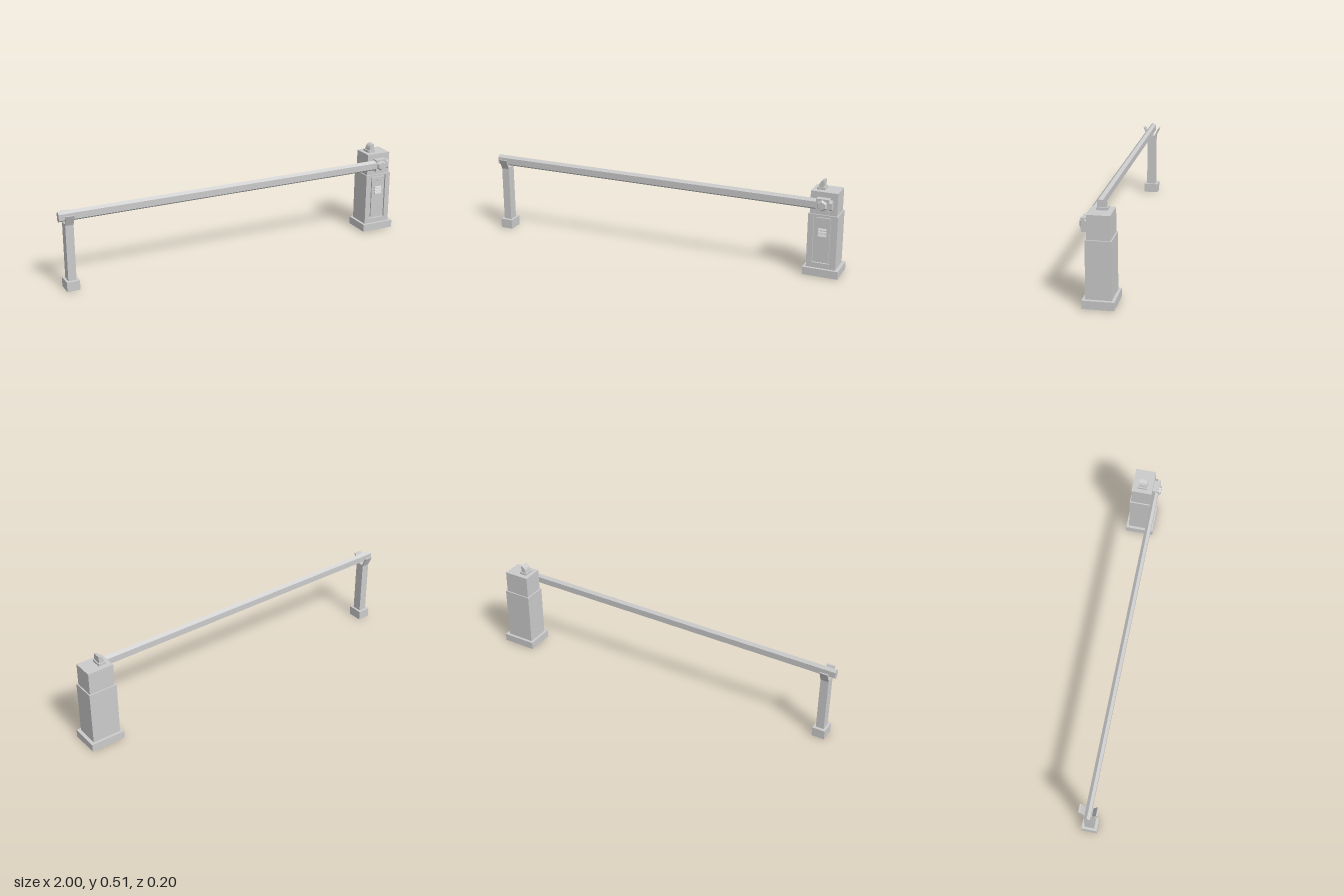
import * as THREE from 'three';

const mat = new THREE.MeshStandardMaterial({ color: 0xcccccc, flatShading: true, side: THREE.DoubleSide });

function add(parent, name, geo) {
  const mesh = new THREE.Mesh(geo, mat);
  mesh.name = name;
  parent.add(mesh);
  return mesh;
}

// Box given by its limits; open leaves out the bottom face
function box(x0, x1, y0, y1, z0, z1, open = false) {
  const g = new THREE.BoxGeometry(x1 - x0, y1 - y0, z1 - z0);
  if (open) {
    const idx = Array.from(g.index.array);
    idx.splice(18, 6);
    g.setIndex(idx);
    g.clearGroups();
  }
  return g.translate((x0 + x1) / 2, (y0 + y1) / 2, (z0 + z1) / 2);
}

const poly = (pts) => new THREE.Shape(pts.map(([x, y]) => new THREE.Vector2(x, y)));
const extrude = (shape, depth) =>
  new THREE.ExtrudeGeometry(shape, { depth, bevelEnabled: false, curveSegments: 6 });

// Profile drawn in (z, y) and run along x from x0 to x1
function alongX(pts, x0, x1) {
  return extrude(poly(pts.map(([z, y]) => [-z, y])), x1 - x0).rotateY(Math.PI / 2).translate(x0, 0, 0);
}

function makeCabinet() {
  const g = new THREE.Group();
  g.name = 'cabinet';
  add(g, 'cabinetBase', box(0.81, 1, 0.003, 0.045, -0.1, 0.057, true));
  add(g, 'cabinetBody', box(0.825, 0.982, 0.045, 0.338, -0.085, 0.032, true));

  // Front wall with the door opening
  const wall = poly([[0.825, 0.045], [0.982, 0.045], [0.982, 0.338], [0.825, 0.338]]);
  wall.holes.push(poly([[0.855, 0.073], [0.855, 0.33], [0.952, 0.33], [0.952, 0.073]]));
  add(g, 'cabinetFront', extrude(wall, 0.01).translate(0, 0, 0.032));
  add(g, 'door', box(0.864, 0.943, 0.082, 0.321, 0.03, 0.04));
  add(g, 'doorLock', box(0.898, 0.908, 0.296, 0.31, 0.04, 0.043));

  // Sloping vent louvres
  for (let i = 0; i < 3; i++) {
    const y = 0.222 + i * 0.016;
    add(g, 'doorVent', alongX([[0.038, y], [0.049, y], [0.046, y + 0.006], [0.038, y + 0.012]], 0.882, 0.926));
  }

  add(g, 'cabinetHead', box(0.832, 0.975, 0.338, 0.46, -0.078, 0.035));

  // Signal lamp with a quarter-round hood
  add(g, 'lampBase', box(0.855, 0.897, 0.46, 0.472, -0.05, 0.005));
  const hood = new THREE.Shape();
  hood.moveTo(0.862, 0.472);
  hood.lineTo(0.891, 0.472);
  hood.lineTo(0.891, 0.509);
  hood.quadraticCurveTo(0.864, 0.505, 0.862, 0.472);
  add(g, 'lampHood', extrude(hood, 0.045).translate(0, 0, -0.043));
  return g;
}

function makeArm() {
  const g = new THREE.Group();
  g.name = 'arm';
  // Hexagonal boom
  add(g, 'boom', alongX([
    [0.051, 0.37], [0.067, 0.381], [0.067, 0.415], [0.051, 0.428], [0.035, 0.415], [0.035, 0.381],
  ], -1, 0.953));
  // Pivot block and hexagonal bolt
  add(g, 'pivotBlock', box(0.87, 0.938, 0.363, 0.432, 0.033, 0.067));
  const hub = new THREE.CylinderGeometry(0.022, 0.03, 0.012, 6).rotateX(Math.PI / 2).translate(0.902, 0.398, 0.073);
  add(g, 'pivotBolt', hub);
  return g;
}

function makePost() {
  const g = new THREE.Group();
  g.name = 'restPost';
  const cx = -0.95, cz = 0.051;
  add(g, 'postBase', box(cx - 0.035, cx + 0.035, 0, 0.052, cz - 0.042, cz + 0.042, true));
  // Shaft that flares into a forked cradle
  const half = [[0.026, 0.05], [0.026, 0.355], [0.05, 0.411], [0.041, 0.411], [0.019, 0.362]];
  const outline = [
    ...half.map(([z, y]) => [cz + z, y]),
    ...[...half].reverse().map(([z, y]) => [cz - z, y]),
  ];
  add(g, 'postAndCradle', alongX(outline, cx - 0.022, cx + 0.022));
  return g;
}

export function createModel() {
  const model = new THREE.Group();
  model.name = 'barrierGate';
  model.add(makeCabinet(), makeArm(), makePost());
  return model;
}
